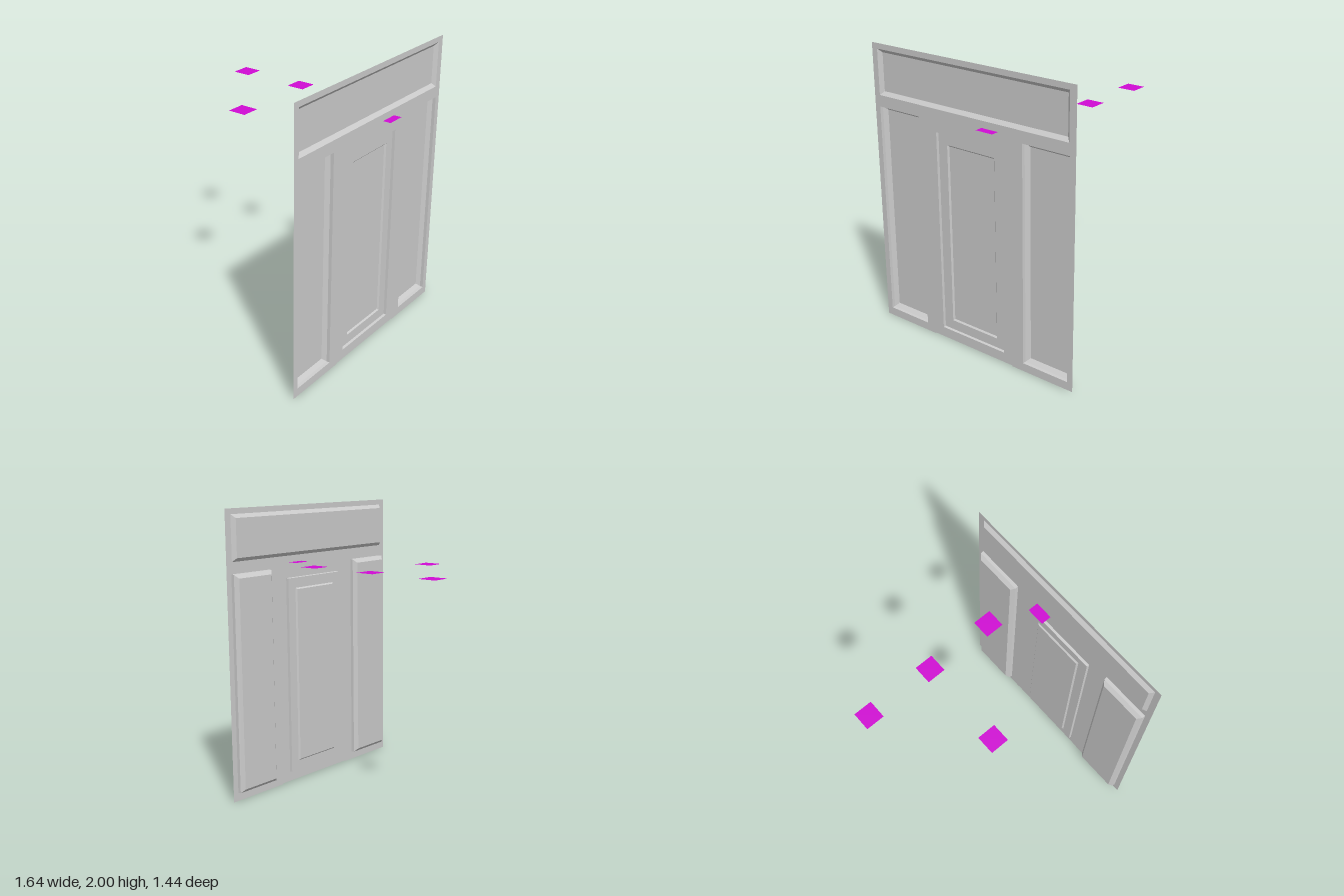
import * as THREE from 'three';

const FRONT = 0.66; // plane of the facade
const grey = new THREE.MeshStandardMaterial({ color: 0xcccccc, flatShading: true, side: THREE.DoubleSide });
const magenta = new THREE.MeshStandardMaterial({ color: 0xd00cd4, side: THREE.DoubleSide });

// Joins nested rectangles [x0, x1, y0, y1, z] from the outside in and caps the last one
function steppedPanel(name, rings) {
  const pos = [];
  const corners = rings.map(([x0, x1, y0, y1, z]) => [[x0, y0, z], [x1, y0, z], [x1, y1, z], [x0, y1, z]]);
  const quad = (a, b, c, d) => pos.push(...a, ...b, ...c, ...a, ...c, ...d);
  for (let r = 0; r < corners.length - 1; r++) {
    const o = corners[r], n = corners[r + 1];
    for (let i = 0; i < 4; i++) {
      const j = (i + 1) % 4;
      quad(o[i], o[j], n[j], n[i]);
    }
  }
  quad(...corners[corners.length - 1]);
  const geo = new THREE.BufferGeometry();
  geo.setAttribute('position', new THREE.Float32BufferAttribute(pos, 3));
  geo.computeVertexNormals();
  const mesh = new THREE.Mesh(geo, grey);
  mesh.name = name;
  return mesh;
}

// Shrinks a rectangle by d on every side and places it at depth z
const inset = ([x0, x1, y0, y1], d, z) => [x0 + d, x1 - d, y0 + d, y1 - d, z];

export function createModel() {
  const group = new THREE.Group();

  // Header with one wide chamfered recess
  const headerPanel = [-0.775, 0.77, 1.65, 1.962];
  group.add(steppedPanel('header', [
    [-0.82, 0.82, 1.61, 2, FRONT],
    inset(headerPanel, 0, FRONT),
    inset(headerPanel, 0.025, 0.637),
  ]));

  // Side bays: a straight step, then a chamfer to the sunken panel
  const bays = [
    ['rightBay', [-0.82, -0.347, 0, 1.61], [-0.778, -0.427, 0.058, 1.57]],
    ['leftBay', [0.337, 0.82, 0, 1.61], [0.426, 0.778, 0.058, 1.57]],
  ];
  for (const [name, outer, panel] of bays) {
    group.add(steppedPanel(name, [
      inset(outer, 0, FRONT),
      inset(panel, 0, FRONT),
      inset(panel, 0.002, 0.638),
      inset(panel, 0.027, 0.614),
    ]));
  }

  // Door with two nested recesses, and the strip above it
  const field = [-0.275, 0.265, 0.077, 1.495];
  const centre = [-0.2, 0.192, 0.148, 1.42];
  group.add(steppedPanel('door', [
    [-0.347, 0.337, 0.006, 1.57, FRONT],
    inset(field, 0, FRONT),
    inset(field, 0.003, 0.642),
    inset(centre, 0, 0.642),
    inset(centre, 0.01, 0.632),
  ]));
  group.add(steppedPanel('doorLintel', [[-0.347, 0.337, 1.57, 1.61, FRONT]]));

  // Loose horizontal square markers
  const spots = [[0.345, -0.655], [-0.278, -0.17], [0.339, -0.165], [0.337, 0.323], [0.175, 0.651]];
  const square = new THREE.PlaneGeometry(0.13, 0.13).rotateX(-Math.PI / 2);
  spots.forEach(([x, z], i) => {
    const marker = new THREE.Mesh(square, magenta);
    marker.name = `marker${i + 1}`;
    marker.position.set(x, 1.603, z);
    group.add(marker);
  });

  return group;
}
